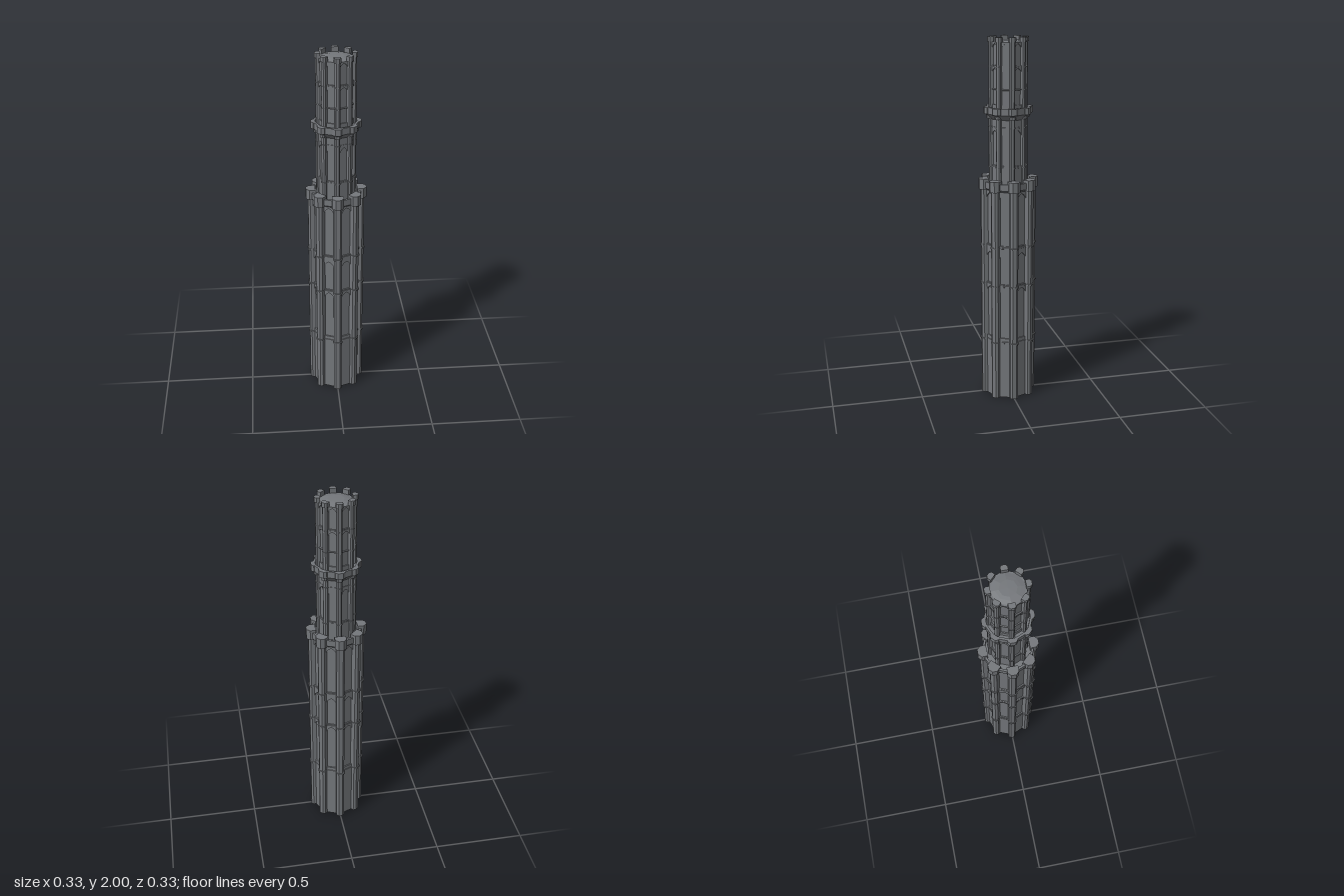
import * as THREE from 'three';

const material = new THREE.MeshStandardMaterial({ color: 0x75787c, flatShading: true, side: THREE.DoubleSide });
const SIDES = 8;
const STEP = (Math.PI * 2) / SIDES;
const COS = Math.cos(STEP / 2);

export function createModel() {
  const tower = new THREE.Group();
  tower.name = 'tower';

  const add = (name, geometry, angle = 0) => {
    const mesh = new THREE.Mesh(geometry, material);
    mesh.name = name;
    mesh.rotation.y = angle;
    tower.add(mesh);
  };

  // Octagonal solid of revolution from [radius, height] pairs, corners on the axes
  const octagon = (name, profile) =>
    add(name, new THREE.LatheGeometry(profile.map(([r, y]) => new THREE.Vector2(r, y)), SIDES));

  // Pier with 45 degree chamfers, repeated at the eight corners
  function piers(name, { w, zin, zout, c }, y0, y1) {
    const shape = new THREE.Shape([
      [-w, -zin], [-w, c - zout], [c - w, -zout],
      [w - c, -zout], [w, c - zout], [w, -zin],
    ].map(([x, y]) => new THREE.Vector2(x, y)));
    const geometry = new THREE.ExtrudeGeometry(shape, { depth: y1 - y0, bevelEnabled: false });
    geometry.rotateX(-Math.PI / 2).translate(0, y0, 0);
    for (let i = 0; i < SIDES; i++) add(name, geometry, i * STEP);
  }

  // Wall panel with pointed-arch recesses, repeated on the eight faces
  function panels(name, R, depth, y0, y1, w, arches) {
    const half = R * Math.sin(STEP / 2);
    const shape = new THREE.Shape();
    shape.moveTo(-half, y0).lineTo(half, y0).lineTo(half, y1).lineTo(-half, y1).closePath();
    for (const [bottom, spring, apex] of arches) {
      const hole = new THREE.Path();
      const bend = spring + (apex - spring) * 0.7;
      hole.moveTo(-w, bottom).lineTo(-w, spring);
      hole.quadraticCurveTo(-w, bend, 0, apex);
      hole.quadraticCurveTo(w, bend, w, spring);
      hole.lineTo(w, bottom).closePath();
      shape.holes.push(hole);
    }
    const geometry = new THREE.ExtrudeGeometry(shape, { depth, bevelEnabled: false, curveSegments: 4 });
    geometry.translate(0, 0, R * COS - depth);
    for (let i = 0; i < SIDES; i++) add(name, geometry, (i + 0.5) * STEP);
  }

  // Thin moulding around walls and piers
  function stringCourse(R, pier, y, h, out) {
    octagon('stringCourse', [[R - 0.005, y - h], [R + out / 2, y - h / 2], [R + out / 2, y + h / 2], [R - 0.005, y + h]]);
    piers('stringCoursePier', { ...pier, w: pier.w + out / 2, zout: pier.zout + out }, y - h / 2, y + h / 2);
  }

  // Lower shaft
  const R1 = 0.134, D1 = 0.007;
  const pier1 = { w: 0.022, zin: 0.1, zout: 0.152, c: 0.011 };
  octagon('base', [[0, 0], [R1, 0], [R1, 0.33], [0, 0.33]]);
  octagon('lowerCore', [[R1 - D1 / COS, 0.33], [R1 - D1 / COS, 1.21], [0, 1.21]]);
  panels('lowerArches', R1, D1, 0.33, 1.21, 0.031, [
    [0.355, 0.6, 0.65],
    [0.67, 0.8, 0.85],
    [0.89, 1.13, 1.18],
  ]);
  piers('lowerButtress', pier1, 0, 1.2);
  for (const y of [0.33, 0.66, 0.88]) stringCourse(R1, pier1, y, 0.008, 0.005);

  // Parapet and buttress heads
  octagon('parapet', [[R1 - 0.005, 1.185], [0.145, 1.2], [0.145, 1.235], [0.132, 1.235], [0.132, 1.215], [0, 1.215]]);
  piers('buttressHead', { w: 0.031, zin: 0.113, zout: 0.163, c: 0.018 }, 1.192, 1.25);

  // Middle stage
  const R2 = 0.097, D2 = 0.006;
  const pier2 = { w: 0.014, zin: 0.075, zout: 0.106, c: 0.007 };
  octagon('middleCore', [[R2 - D2 / COS, 1.21], [R2 - D2 / COS, 1.64]]);
  panels('middleArches', R2, D2, 1.21, 1.6, 0.024, [[1.325, 1.47, 1.515]]);
  piers('middleButtress', pier2, 1.21, 1.6);
  for (const y of [1.315, 1.53]) stringCourse(R2, pier2, y, 0.005, 0.003);

  // Flared gallery between the middle and top stages, with a low rim
  octagon('gallery', [[R2 - 0.005, 1.565], [0.126, 1.6], [0.126, 1.635], [0.113, 1.635], [0.111, 1.622], [0.08, 1.622]]);
  piers('galleryCorner', { w: 0.026, zin: 0.108, zout: 0.132, c: 0.012 }, 1.6, 1.635);
  piers('galleryBracket', { w: 0.016, zin: 0.08, zout: 0.116, c: 0.008 }, 1.575, 1.6);

  // Top stage
  const R3 = 0.095, TOP = 1.975;
  const pier3 = { w: 0.014, zin: 0.082, zout: 0.105, c: 0.007 };
  octagon('topCore', [[R3 - D2 / COS, 1.615], [R3 - D2 / COS, TOP]]);
  panels('topArches', R3, D2, 1.615, TOP, 0.024, [
    [1.65, 1.81, 1.84],
    [1.855, 1.93, 1.967],
  ]);
  piers('topButtress', pier3, 1.615, 2);
  piers('topButtressHead', { ...pier3, w: 0.018, zout: 0.11, c: 0.009 }, 1.975, 2);
  for (const y of [1.73, 1.847]) stringCourse(R3, pier3, y, 0.004, 0.002);

  // Shallow roof
  octagon('roof', [[R3, TOP], [0.085, TOP], [0.062, 1.98], [0.044, 1.983], [0, 1.984]]);

  return tower;
}
